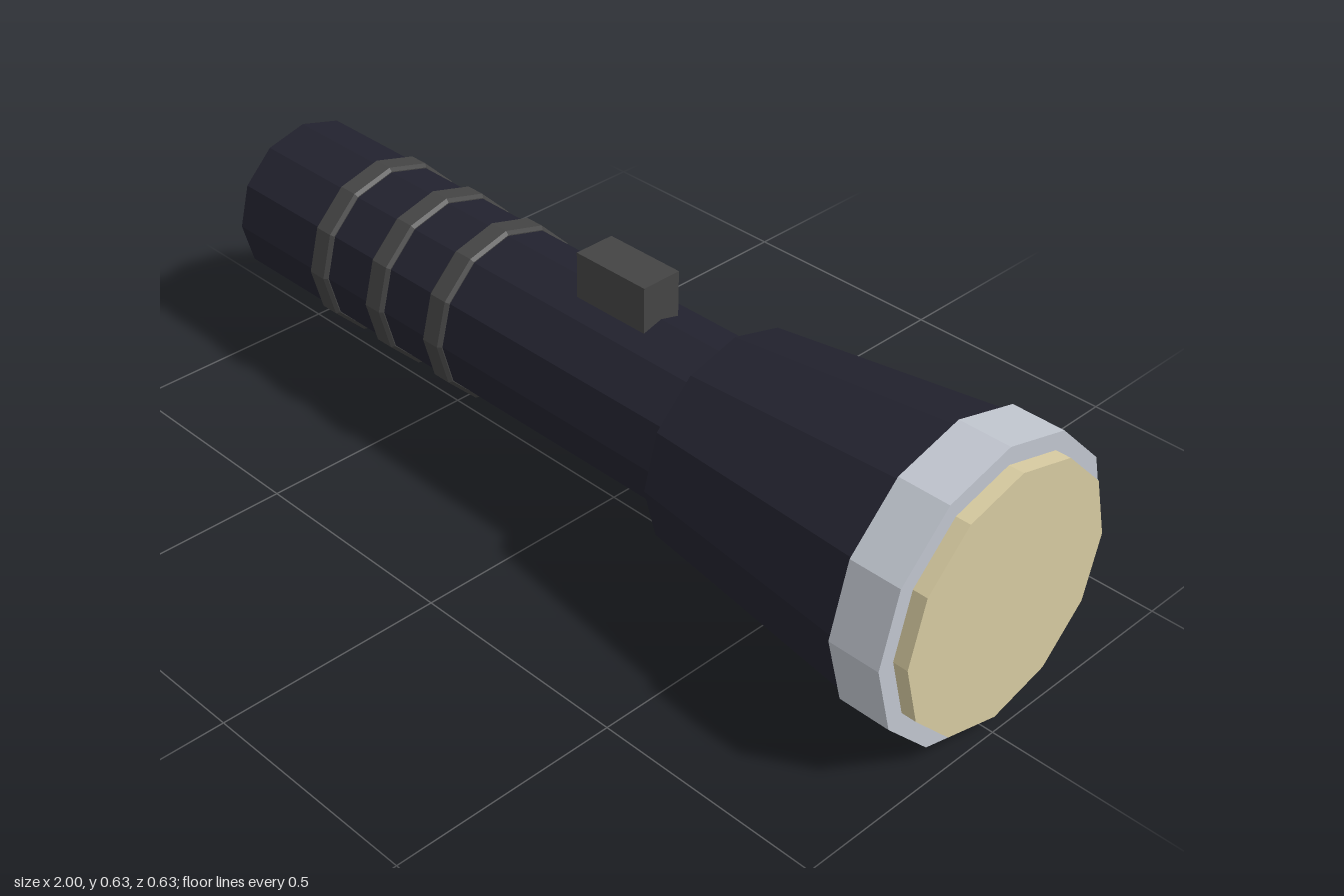
import * as THREE from 'three';

const SIDES = 12;
const AXIS_Y = 0.313; // height of the torch's long axis

function makeMaterial(name, color) {
  const m = new THREE.MeshStandardMaterial({ color, flatShading: true });
  m.name = name;
  return m;
}

export function createModel() {
  const group = new THREE.Group();
  group.name = 'flashlight';

  const dark = makeMaterial('dark casing', 0x22222e);
  const grey = makeMaterial('grey rubber', 0x444444);
  const metal = makeMaterial('light metal', 0xc0c5ce);
  const glass = makeMaterial('pale yellow lens', 0xd6caa0);

  function add(name, geometry, material, x, y = AXIS_Y) {
    const mesh = new THREE.Mesh(geometry, material);
    mesh.name = name;
    mesh.position.set(x, y, 0);
    group.add(mesh);
  }

  // Closed faceted cylinder or cone lying along x, from x0 to x1
  function addBarrel(name, x0, x1, r0, r1, material) {
    const geometry = new THREE.CylinderGeometry(r1, r0, x1 - x0, SIDES);
    geometry.rotateZ(-Math.PI / 2);
    add(name, geometry, material, (x0 + x1) / 2);
  }

  addBarrel('handle', -1, 0.335, 0.188, 0.188, dark);
  addBarrel('head', 0.328, 0.86, 0.238, 0.301, dark);
  addBarrel('bezel', 0.855, 0.968, 0.313, 0.313, metal);
  addBarrel('lens', 0.95, 1, 0.275, 0.275, glass);

  // Grip bands with slightly bevelled edges
  const bandProfile = [[0.18, -0.029], [0.19, -0.029], [0.197, -0.022],
    [0.197, 0.022], [0.19, 0.029], [0.18, 0.029]]
    .map(([r, h]) => new THREE.Vector2(r, h));
  const band = new THREE.LatheGeometry(bandProfile, SIDES).rotateZ(-Math.PI / 2);
  [-0.717, -0.529, -0.341].forEach((x) => add('gripBand', band, grey, x));

  // Sliding switch on top
  add('switch', new THREE.BoxGeometry(0.188, 0.125, 0.094), grey, 0.038, 0.5275);

  return group;
}
